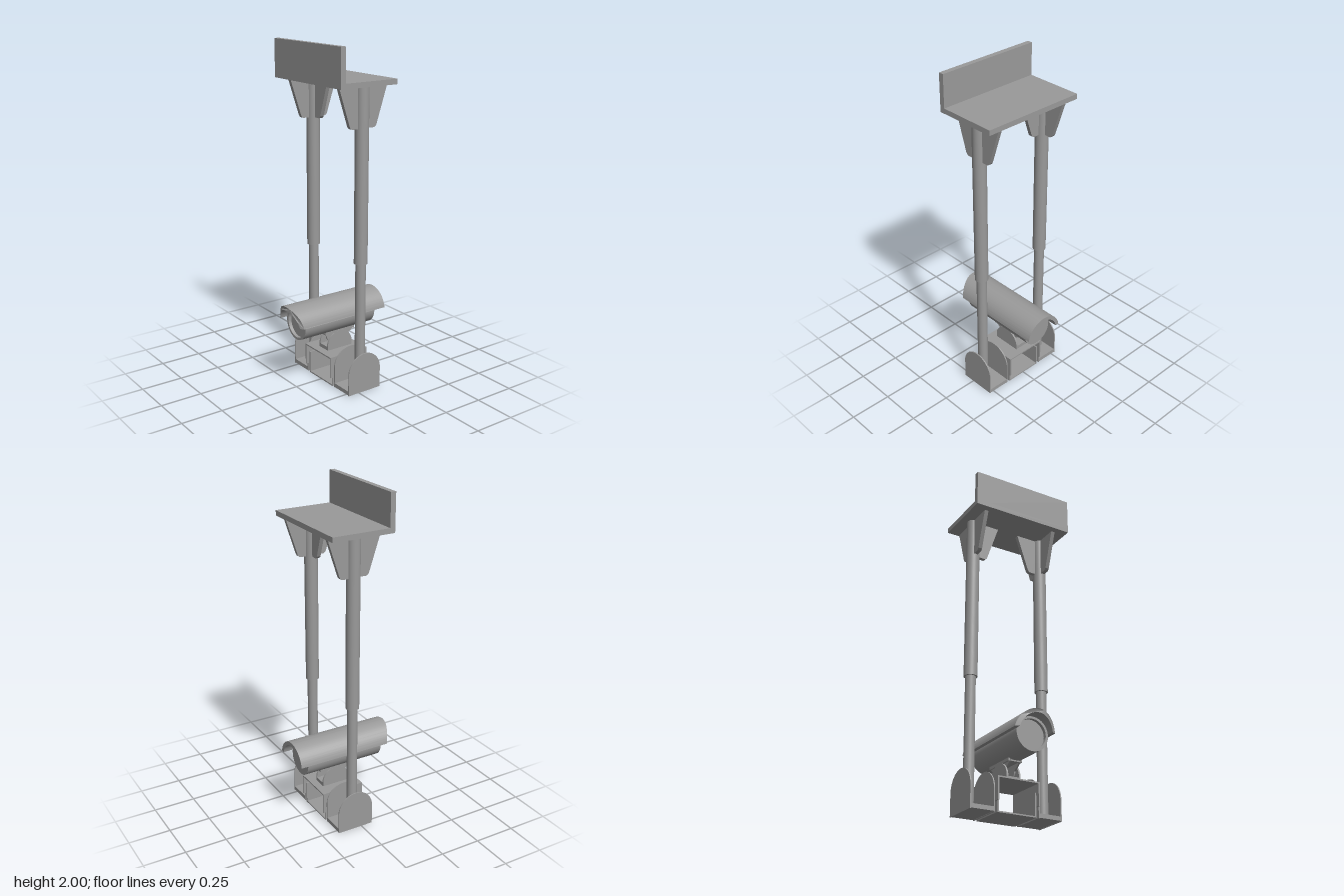
import * as THREE from 'three';
import { toCreasedNormals } from 'three/addons/utils/BufferGeometryUtils.js';

const material = new THREE.MeshStandardMaterial({ color: 0x9a9a9a });
const PZ = -0.04; // depth of the posts and base
const CX = -0.006; // centre line of the camera

export function createModel() {
  const model = new THREE.Group();

  const add = (name, geometry, parent = model) => {
    const mesh = new THREE.Mesh(geometry, material);
    mesh.name = name;
    parent.add(mesh);
    return mesh;
  };
  // Box given by its limits
  const box = (name, x0, x1, y0, y1, z0, z1, parent) =>
    add(name, new THREE.BoxGeometry(x1 - x0, y1 - y0, z1 - z0), parent)
      .position.set((x0 + x1) / 2, (y0 + y1) / 2, (z0 + z1) / 2);
  const extrude = (shape, depth) => toCreasedNormals(new THREE.ExtrudeGeometry(shape,
    { depth, bevelEnabled: false, curveSegments: 32 }), 0.6);
  // Profile drawn in (-z, y), thickened along x and centred on x
  const sidePlate = (name, shape, thickness, x, parent) => {
    const g = extrude(shape, thickness).translate(0, 0, -thickness / 2).rotateY(Math.PI / 2);
    add(name, g, parent).position.set(x, 0, PZ);
  };

  // Angled top shelf
  box('topShelf', -0.316, 0.316, 1.78, 1.81, -0.214, 0.163);
  box('topUpright', -0.316, 0.316, 1.78, 2, 0.132, 0.163);

  // Rounded-top plate outline
  const tombstone = new THREE.Shape();
  tombstone.moveTo(-0.113, 0);
  tombstone.lineTo(0.113, 0);
  tombstone.lineTo(0.113, 0.125);
  tombstone.absarc(0, 0.125, 0.113, 0, Math.PI, false);

  // Tapered gusset outline, pointing along +x
  const gusset = new THREE.Shape();
  gusset.moveTo(0, 1.78);
  gusset.lineTo(0, 1.547);
  gusset.lineTo(0.07, 1.547);
  gusset.quadraticCurveTo(0.085, 1.547, 0.092, 1.566);
  gusset.lineTo(0.163, 1.78);

  for (const side of [-1, 1]) {
    const leg = new THREE.Group();
    leg.name = side < 0 ? 'rightLeg' : 'leftLeg';
    model.add(leg);
    const x = side * 0.232;

    // Telescopic post
    add('upperTube', new THREE.CylinderGeometry(0.039, 0.039, 1.005, 40), leg).position.set(x, 1.2775, PZ);
    add('lowerTube', new THREE.CylinderGeometry(0.03, 0.03, 0.76, 40), leg).position.set(x, 0.4, PZ);

    // Gussets facing inward, forward and backward
    for (const angle of [side < 0 ? 0 : Math.PI, Math.PI / 2, -Math.PI / 2]) {
      const g = extrude(gusset, 0.024).translate(0, 0, -0.012).rotateY(angle);
      add('gusset', g, leg).position.set(x, 0, PZ);
    }

    // Foot bracket
    const a = side * 0.276, b = side * 0.137;
    box('footPlate', Math.min(a, b), Math.max(a, b), 0.003, 0.027, PZ - 0.113, PZ + 0.113, leg);
    sidePlate('outerFootWall', tombstone, 0.007, a, leg);
    sidePlate('innerFootWall', tombstone, 0.007, b, leg);

    // Side walls of the two interlocking channels
    const u = side * 0.125, l = side * 0.115;
    box('upperChannelWall', u - 0.004, u + 0.004, 0.06, 0.19, -0.172, 0.095);
    box('lowerChannelWall', l - 0.004, l + 0.004, 0, 0.135, PZ - 0.113, PZ + 0.113);
  }
  box('upperChannelTop', -0.129, 0.129, 0.182, 0.19, -0.172, 0.095);
  box('lowerChannelFloor', -0.119, 0.119, 0, 0.008, PZ - 0.113, PZ + 0.113);

  // Swivel mount: lower and upper lugs
  const lowerLug = new THREE.Shape();
  lowerLug.moveTo(-0.088, 0.19);
  lowerLug.lineTo(0.088, 0.19);
  lowerLug.absarc(0, 0.212, 0.088, 0, Math.PI, false);
  const upperLug = new THREE.Shape();
  upperLug.moveTo(0.115, 0.315);
  upperLug.lineTo(-0.115, 0.315);
  upperLug.quadraticCurveTo(-0.1, 0.28, -0.05, 0.255);
  upperLug.absarc(0, 0.255, 0.05, Math.PI, Math.PI * 2, false);
  upperLug.quadraticCurveTo(0.1, 0.28, 0.115, 0.315);
  box('mountBase', CX - 0.042, CX + 0.042, 0.19, 0.212, PZ - 0.088, PZ + 0.088);
  for (const side of [-1, 1]) {
    sidePlate('lowerLug', lowerLug, 0.01, CX + side * 0.038);
    sidePlate('upperLug', upperLug, 0.009, CX + side * 0.029);
  }
  box('mountTop', CX - 0.042, CX + 0.042, 0.292, 0.31, PZ - 0.105, PZ + 0.105);

  // Camera housing with a flat back and a recessed front
  const profile = [[0, -0.257], [0.097, -0.257], [0.097, 0.242], [0.083, 0.242],
    [0.083, 0.222], [0, 0.222]].map(([r, z]) => new THREE.Vector2(r, z));
  const body = toCreasedNormals(new THREE.LatheGeometry(profile, 56).rotateX(Math.PI / 2), 0.5);
  add('cameraBody', body).position.set(CX, 0.396, 0);

  // Sun hood over the housing, its front edge rounded when seen from above
  const start = 0.15, R = 0.125, r = 0.102;
  const innerStart = Math.asin(R * Math.sin(start) / r);
  const arc = new THREE.Shape();
  arc.absarc(0, 0, R, start, Math.PI - start, false);
  arc.absarc(0, 0, r, Math.PI - innerStart, innerStart, true);
  const hood = new THREE.ExtrudeGeometry(arc, { depth: 1, bevelEnabled: false, curveSegments: 40 });
  const p = hood.attributes.position;
  for (let i = 0; i < p.count; i++) {
    p.setZ(i, p.getZ(i) > 0.5 ? 0.312 - 2.75 * p.getX(i) ** 2 : -0.314);
  }
  add('sunHood', toCreasedNormals(hood, 0.6)).position.set(CX, 0.39, 0);

  return model;
}
